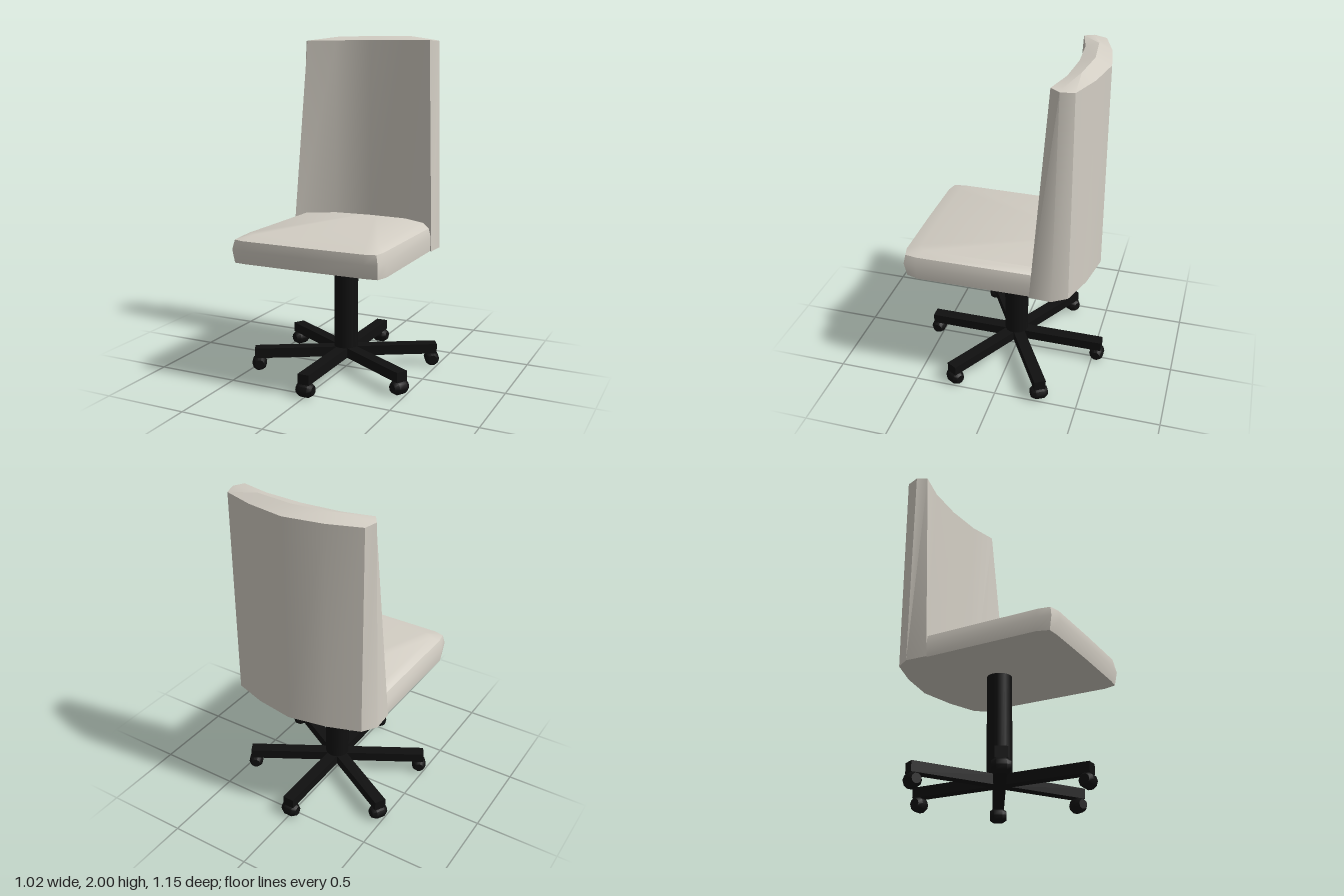
import * as THREE from 'three';
import { toCreasedNormals } from 'three/addons/utils/BufferGeometryUtils.js';

// Half outline (front centre to back centre) mirrored into a closed ring
const ring = (half) => [
  ...half,
  ...half.slice(1, -1).reverse().map(([x, y, z]) => [-x, y, z]),
];

// Skin stacked rings, closing the bottom and optionally the top
function loft(halves, closeTop, crease) {
  const rings = halves.map(ring);
  const n = rings[0].length, hub = n / 2;
  const pos = [];
  const tri = (a, b, c) => {
    const same = (p, q) => p.every((v, i) => v === q[i]);
    if (!same(a, b) && !same(b, c) && !same(a, c)) pos.push(...a, ...b, ...c);
  };
  for (let r = 0; r < rings.length - 1; r++) {
    const lo = rings[r], hi = rings[r + 1];
    for (let i = 0; i < n; i++) {
      const j = (i + 1) % n;
      tri(lo[i], lo[j], hi[j]);
      tri(lo[i], hi[j], hi[i]);
    }
  }
  const last = rings[rings.length - 1];
  for (let k = 1; k < n - 1; k++) {
    const i = (hub + k) % n, j = (hub + k + 1) % n;
    tri(rings[0][hub], rings[0][j], rings[0][i]);
    if (closeTop) tri(last[hub], last[i], last[j]);
  }
  const geo = new THREE.BufferGeometry();
  geo.setAttribute('position', new THREE.Float32BufferAttribute(pos, 3));
  return toCreasedNormals(geo, crease);
}

export function createModel() {
  const model = new THREE.Group();
  model.name = 'officeChair';
  const fabric = new THREE.MeshStandardMaterial({ color: 0xd3cec4 });
  fabric.name = 'upholstery';
  const black = new THREE.MeshStandardMaterial({ color: 0x101010 });
  black.name = 'blackPlastic';

  const add = (parent, name, geo, mat) => {
    const mesh = new THREE.Mesh(geo, mat);
    mesh.name = name;
    parent.add(mesh);
    return mesh;
  };

  // Seat cushion: y, front z, corner z, shoulder z, front x, corner x, side x
  const seatRing = ([y, zf, zc, zs, xf, xc, xs]) => [
    [0, y, zf], [xf, y, zf - 0.003], [xc, y, zc], [xs, y, zs],
    [xs - 0.005, y, -0.3], [0.23, y, -0.42], [0, y, -0.45],
  ];
  const seat = [
    [0.73, 0.55, 0.54, 0.47, 0.37, 0.44, 0.462],
    [0.81, 0.57, 0.555, 0.475, 0.37, 0.447, 0.465],
    [0.865, 0.565, 0.545, 0.475, 0.37, 0.435, 0.447],
    [0.89, 0.48, 0.475, 0.44, 0.34, 0.37, 0.4],
  ].map(seatRing);
  add(model, 'seat', loft(seat, true, 0.7), fabric);

  // Curved backrest: flared at the bottom, with a ridge along the crown
  const backBottom = [
    [0, 0.73, -0.345], [0.23, 0.73, -0.33], [0.468, 0.73, -0.2],
    [0.475, 0.73, -0.33], [0.42, 0.73, -0.415], [0.23, 0.73, -0.48], [0, 0.73, -0.52],
  ];
  const backTop = [
    [0, 1.975, -0.345], [0.23, 1.975, -0.33], [0.405, 1.973, -0.285],
    [0.442, 1.97, -0.34], [0.42, 1.965, -0.415], [0.23, 1.965, -0.48], [0, 1.965, -0.52],
  ];
  const ridge = [[0, 2, -0.43], [0.23, 2, -0.405], [0.41, 1.976, -0.345]];
  const crown = [0, 1, 2, 2, 2, 1, 0].map((i) => ridge[i]);
  add(model, 'backrest', loft([backBottom, backTop, crown], false, 0.645), fabric);

  // Column
  const column = add(model, 'column', new THREE.CylinderGeometry(0.073, 0.073, 0.65, 20), black);
  column.position.y = 0.41;

  // Six-armed base with a caster under each tip
  const armGeo = new THREE.BoxGeometry(0.07, 0.06, 0.555);
  const casterProfile = [[0, -0.05], [0.028, -0.05], [0.044, -0.026], [0.044, 0.026], [0.028, 0.05], [0, 0.05]]
    .map(([r, h]) => new THREE.Vector2(r, h));
  const casterGeo = toCreasedNormals(new THREE.LatheGeometry(casterProfile, 10), 0.7);
  for (let i = 0; i < 6; i++) {
    const spoke = new THREE.Group();
    spoke.name = 'baseSpoke';
    spoke.rotation.y = (i * Math.PI) / 3;
    add(spoke, 'arm', armGeo, black).position.set(0, 0.11, 0.2775);
    const caster = add(spoke, 'caster', casterGeo, black);
    caster.rotation.z = Math.PI / 2;
    caster.position.set(0, 0.044, 0.529);
    model.add(spoke);
  }
  return model;
}
